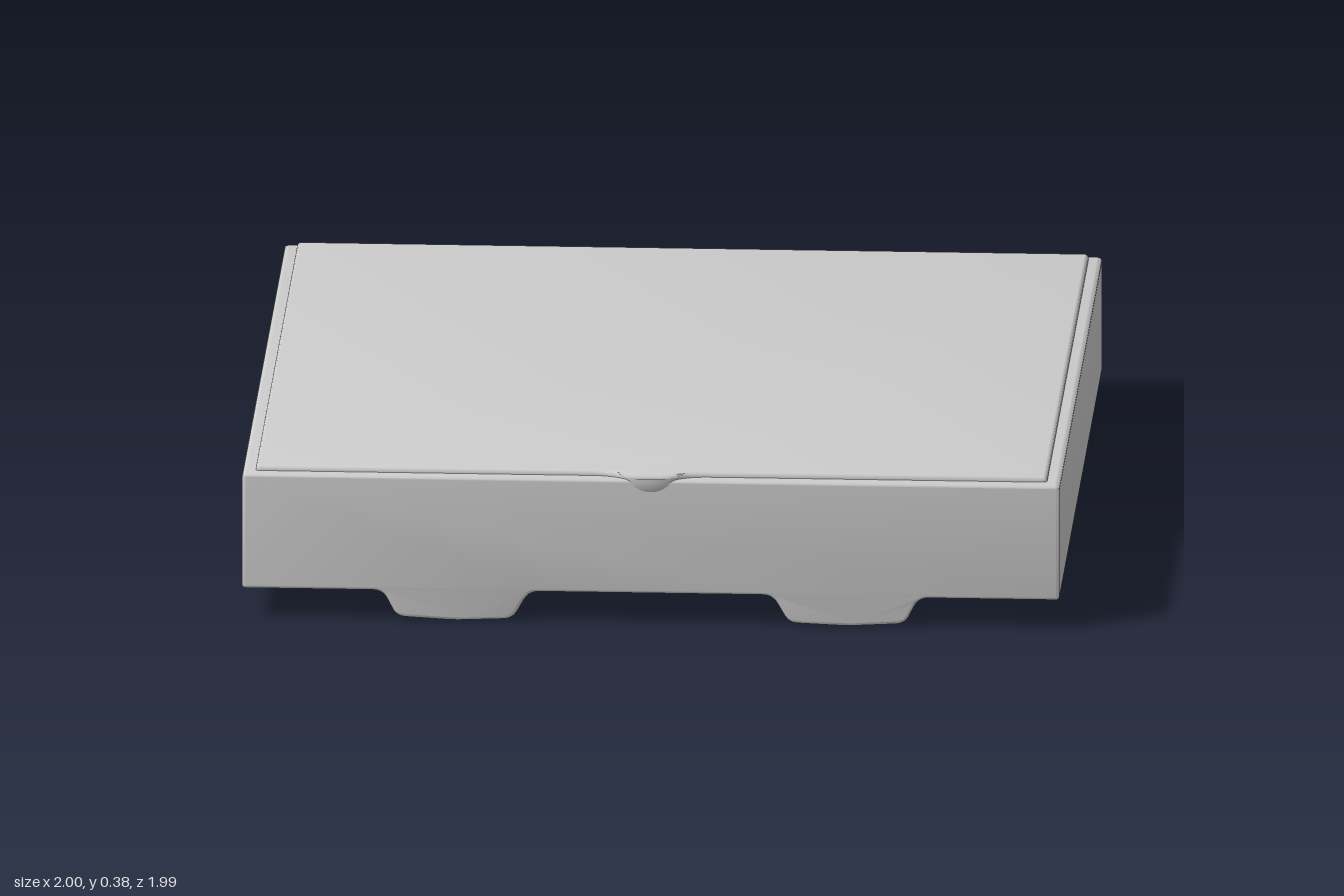
import * as THREE from 'three';
import { toCreasedNormals } from 'three/addons/utils/BufferGeometryUtils.js';

const material = new THREE.MeshStandardMaterial({ color: 0xcccccc });

// Closed shape from [x, y, radius] corners, each rounded with a quadratic curve
function roundedShape(points) {
  const shape = new THREE.Shape();
  const n = points.length;
  points.forEach(([x, y, r], i) => {
    const corner = new THREE.Vector2(x, y);
    const toward = ([px, py]) => new THREE.Vector2(px, py).sub(corner).setLength(r).add(corner);
    const a = toward(points[(i + n - 1) % n]);
    const b = toward(points[(i + 1) % n]);
    if (i === 0) shape.moveTo(a.x, a.y);
    else shape.lineTo(a.x, a.y);
    shape.quadraticCurveTo(x, y, b.x, b.y);
  });
  shape.closePath();
  return shape;
}

// Extrusion from 0 to length whose bevel stays inside the outline
function extrude(shape, length, bevel) {
  return new THREE.ExtrudeGeometry(shape, {
    depth: length - 2 * bevel, bevelThickness: bevel, bevelSize: bevel,
    bevelOffset: -bevel, bevelSegments: 3, curveSegments: 5,
  }).translate(0, 0, bevel);
}

function addPart(group, name, geometry) {
  const mesh = new THREE.Mesh(toCreasedNormals(geometry, 0.7), material);
  mesh.name = name;
  group.add(mesh);
  return mesh;
}

export function createModel() {
  const group = new THREE.Group();
  group.name = 'flatBox';

  // Body with two runners underneath, drawn as a front profile
  const half = [
    [0.298, 0.076, 0.025], [0.338, 0.006, 0.022], [0.48, 0, 0.02],
    [0.622, 0.008, 0.022], [0.655, 0.074, 0.025], [1, 0.074, 0.01], [1, 0.366, 0.012],
  ];
  const mirrored = half.map(([x, y, r]) => [-x, y, r]).reverse();
  const profile = roundedShape([...mirrored, ...half]);
  addPart(group, 'bodyWithRunners', extrude(profile, 1.982, 0.008).translate(0, 0, -0.995));

  // Thin raised lid whose front edge swells into the tab (outline in x and -z)
  const lid = roundedShape([
    [-0.968, -0.955, 0.012], [-0.1, -0.955, 0.04], [-0.05, -0.988, 0.025],
    [0.05, -0.988, 0.025], [0.1, -0.955, 0.04], [0.968, -0.955, 0.012],
    [0.968, 0.978, 0.012], [-0.968, 0.978, 0.012],
  ]);
  const lidGeometry = extrude(lid, 0.03, 0.01);
  lidGeometry.rotateX(-Math.PI / 2).translate(0, 0.349, 0);
  addPart(group, 'lid', lidGeometry);

  // Rounded lip of the tab folding down over the front wall
  const lip = new THREE.SphereGeometry(1, 32, 10, 0, Math.PI * 2, Math.PI / 2, Math.PI / 2);
  lip.scale(0.078, 0.055, 0.035).translate(0, 0.37, 0.96);
  addPart(group, 'tabLip', lip);

  return group;
}
